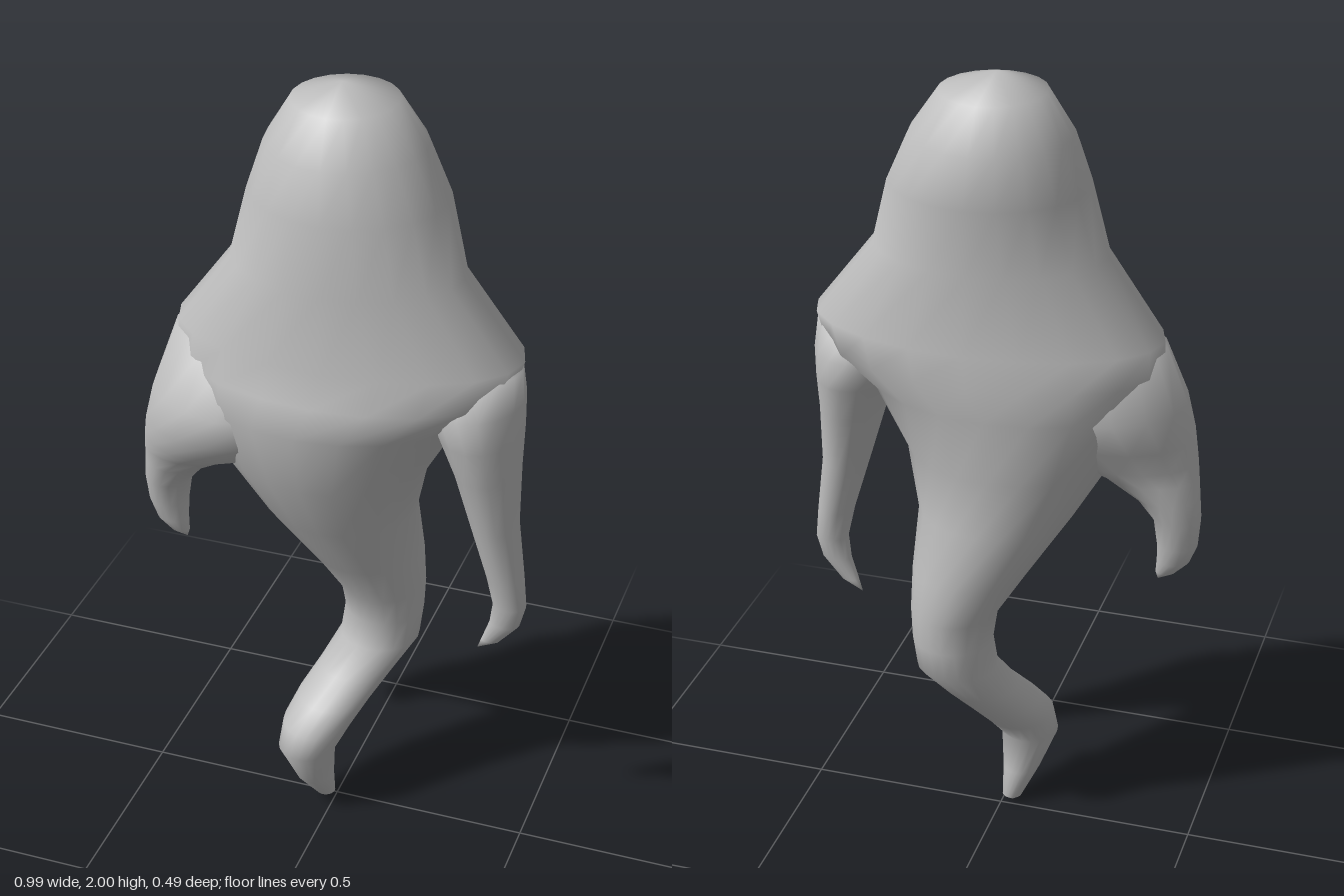
import * as THREE from 'three';

// Closed smooth skin over elliptical rings listed from top to bottom.
// Each ring: [y, xMin, xMax, zMin, zMax]; the ends are closed by one point each.
function loft(rings, sides, topPoint, bottomPoint) {
  const pos = [...topPoint];
  const index = [];
  for (const [y, x0, x1, z0, z1] of rings) {
    for (let i = 0; i < sides; i++) {
      const a = (i / sides) * Math.PI * 2;
      pos.push(
        (x0 + x1) / 2 + ((x1 - x0) / 2) * Math.sin(a),
        y,
        (z0 + z1) / 2 + ((z1 - z0) / 2) * Math.cos(a)
      );
    }
  }
  pos.push(...bottomPoint);
  const last = pos.length / 3 - 1;
  const at = (r, i) => 1 + r * sides + (i % sides);
  for (let i = 0; i < sides; i++) {
    index.push(0, at(0, i), at(0, i + 1));
    for (let r = 0; r < rings.length - 1; r++) {
      const a = at(r, i), b = at(r, i + 1), c = at(r + 1, i), d = at(r + 1, i + 1);
      index.push(a, c, b, b, c, d);
    }
    index.push(at(rings.length - 1, i), last, at(rings.length - 1, i + 1));
  }
  const geo = new THREE.BufferGeometry();
  geo.setAttribute('position', new THREE.Float32BufferAttribute(pos, 3));
  geo.setIndex(index);
  geo.computeVertexNormals();
  return geo;
}

export function createModel() {
  const group = new THREE.Group();
  group.name = 'ghost';
  const grey = new THREE.MeshStandardMaterial({ color: 0xbfbfbf });
  grey.name = 'ghost grey';
  const add = (name, geo) => {
    const mesh = new THREE.Mesh(geo, grey);
    mesh.name = name;
    group.add(mesh);
  };

  // Head, wide shoulders, and a waist that narrows into the curling tail
  add('body', loft([
    [1.96, -0.12, 0.13, -0.17, 0.09],
    [1.86, -0.18, 0.20, -0.22, 0.15],
    [1.74, -0.22, 0.255, -0.24, 0.18],
    [1.57, -0.26, 0.305, -0.21, 0.195],
    [1.38, -0.40, 0.452, -0.23, 0.205],
    [1.30, -0.40, 0.43, -0.235, 0.23],
    [1.22, -0.37, 0.32, -0.235, 0.245],
    [1.05, -0.28, 0.225, -0.21, 0.20],
    [0.90, -0.19, 0.19, -0.21, 0.14],
    [0.75, -0.09, 0.195, -0.22, 0.06],
    [0.64, -0.02, 0.195, -0.215, 0.01],
    [0.56, -0.01, 0.19, -0.21, -0.01],
    [0.48, -0.02, 0.182, -0.20, -0.005],
    [0.40, -0.06, 0.13, -0.15, 0.04],
    [0.33, -0.10, 0.085, -0.10, 0.095],
    [0.27, -0.125, 0.05, -0.055, 0.14],
    [0.20, -0.13, 0.015, 0, 0.145],
    [0.10, -0.09, 0.005, -0.005, 0.105],
    [0.02, -0.05, 0, -0.005, 0.045]
  ], 20, [0, 2, -0.03], [-0.025, 0, 0.02]));

  // Long hanging arm with an inward hooked tip, its top sunk into the shoulder
  add('leftArm', loft([
    [1.36, 0.21, 0.45, -0.11, 0.10],
    [1.28, 0.22, 0.457, -0.15, 0.145],
    [1.20, 0.26, 0.46, -0.13, 0.145],
    [1.10, 0.30, 0.46, -0.09, 0.12],
    [0.95, 0.345, 0.462, -0.055, 0.09],
    [0.80, 0.39, 0.482, -0.03, 0.065],
    [0.72, 0.407, 0.49, -0.02, 0.05],
    [0.66, 0.40, 0.475, -0.01, 0.04],
    [0.60, 0.38, 0.425, 0, 0.025]
  ], 16, [0.32, 1.40, 0], [0.37, 0.57, 0.01]));

  // Shorter raised arm with a wide sleeve running into the body
  add('rightArm', loft([
    [1.36, -0.402, 0, -0.13, 0.14],
    [1.21, -0.452, 0, -0.165, 0.215],
    [1.12, -0.472, -0.06, -0.12, 0.195],
    [1.06, -0.48, -0.14, -0.09, 0.165],
    [1.02, -0.485, -0.24, -0.07, 0.13],
    [0.97, -0.49, -0.33, -0.06, 0.10],
    [0.91, -0.495, -0.38, -0.045, 0.08],
    [0.84, -0.49, -0.39, -0.03, 0.06],
    [0.79, -0.47, -0.39, -0.015, 0.05],
    [0.755, -0.435, -0.388, 0, 0.035]
  ], 16, [-0.24, 1.40, 0], [-0.395, 0.735, 0.015]));

  return group;
}
